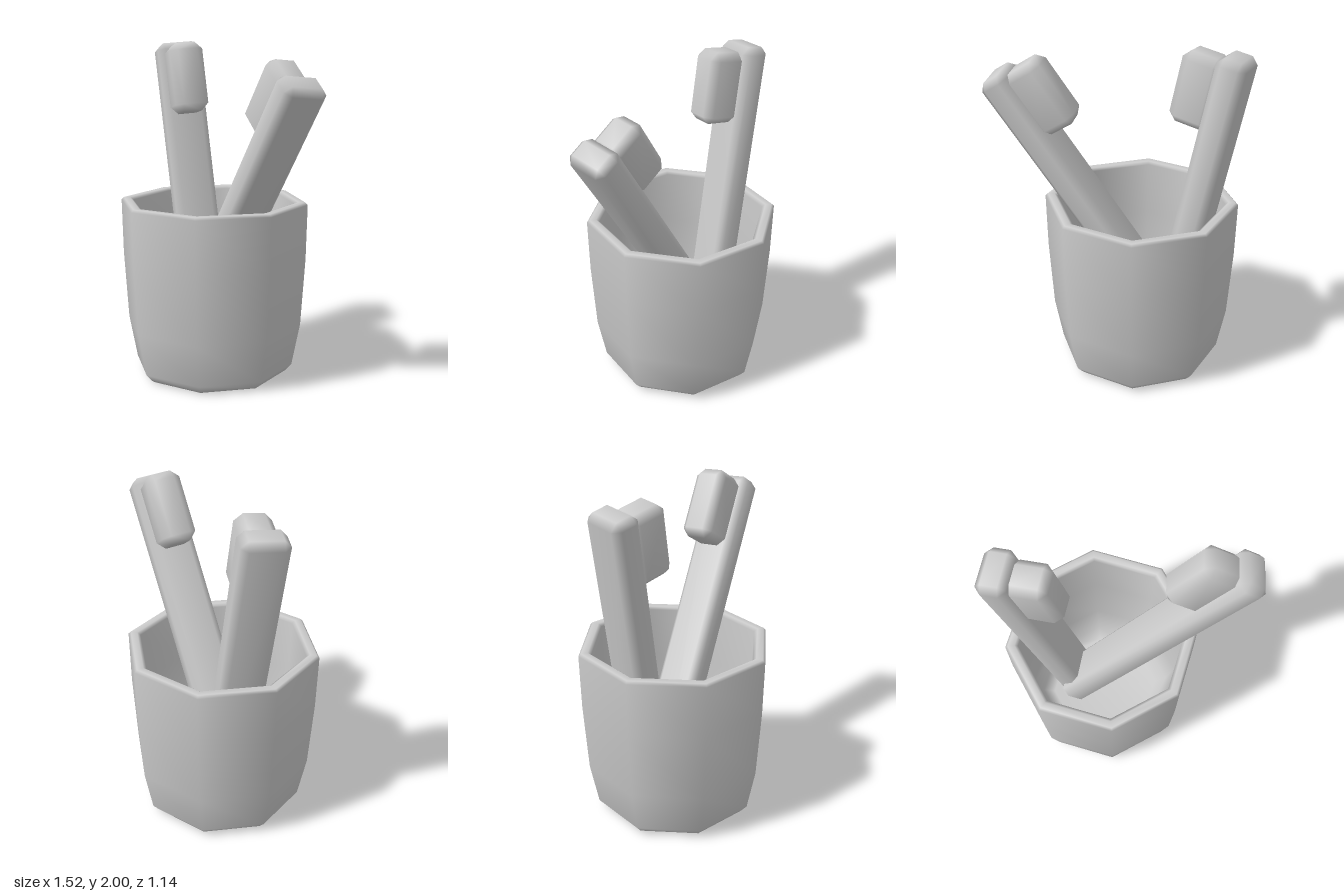
import * as THREE from 'three';
import { mergeVertices } from 'three/addons/utils/BufferGeometryUtils.js';
import { ConvexGeometry } from 'three/addons/geometries/ConvexGeometry.js';

const grey = new THREE.MeshStandardMaterial({ color: 0xcccccc });

// Box with every edge cut off by c, shaded smoothly
function bevelBox(w, h, d, c) {
  const points = [];
  const [x, y, z] = [w / 2, h / 2, d / 2];
  for (const i of [-1, 1]) for (const j of [-1, 1]) for (const k of [-1, 1]) {
    points.push(
      new THREE.Vector3(i * x, j * (y - c), k * (z - c)),
      new THREE.Vector3(i * (x - c), j * y, k * (z - c)),
      new THREE.Vector3(i * (x - c), j * (y - c), k * z)
    );
  }
  let geometry = new ConvexGeometry(points);
  geometry.deleteAttribute('normal');
  geometry = mergeVertices(geometry);
  geometry.computeVertexNormals();
  return geometry;
}

function addMesh(parent, name, geometry, x, y, z) {
  const mesh = new THREE.Mesh(geometry, grey);
  mesh.name = name;
  mesh.position.set(x, y, z);
  parent.add(mesh);
}

// Toothbrush standing on its origin, bristles towards local +x
function makeBrush(name, position, roll, tilt) {
  const length = 1.87;
  const brush = new THREE.Group();
  brush.name = name;
  addMesh(brush, 'handle', bevelBox(0.177, length, 0.264, 0.04), 0, length / 2, 0);
  addMesh(brush, 'bristles', bevelBox(0.24, 0.42, 0.205, 0.045), 0.17, length - 0.242, 0);
  brush.position.set(...position);
  brush.rotation.set(0, THREE.MathUtils.degToRad(roll), THREE.MathUtils.degToRad(tilt), 'ZYX');
  return brush;
}

export function createModel() {
  const model = new THREE.Group();

  // Eight-sided cup: outer wall upwards, over the rim, then down the inside
  const profile = [
    [0, 0], [0.43, 0], [0.445, 0.01], [0.485, 0.055], [0.535, 0.31], [0.562, 0.72],
    [0.57, 1.05], [0.555, 1.065], [0.515, 1.065], [0.495, 1.05],
    [0.485, 0.72], [0.46, 0.33], [0.41, 0.15], [0.34, 0.1], [0, 0.1]
  ].map(([r, y]) => new THREE.Vector2(r, y));
  addMesh(model, 'cup', new THREE.LatheGeometry(profile, 8), -0.13, 0, 0);

  // Two brushes leaning outwards with their bristles facing each other
  model.add(makeBrush('leftBrush', [-0.34, 0.255, -0.008], 170, -33.7));
  model.add(makeBrush('rightBrush', [-0.287, 0.146, -0.08], -20, 11.3));

  return model;
}
